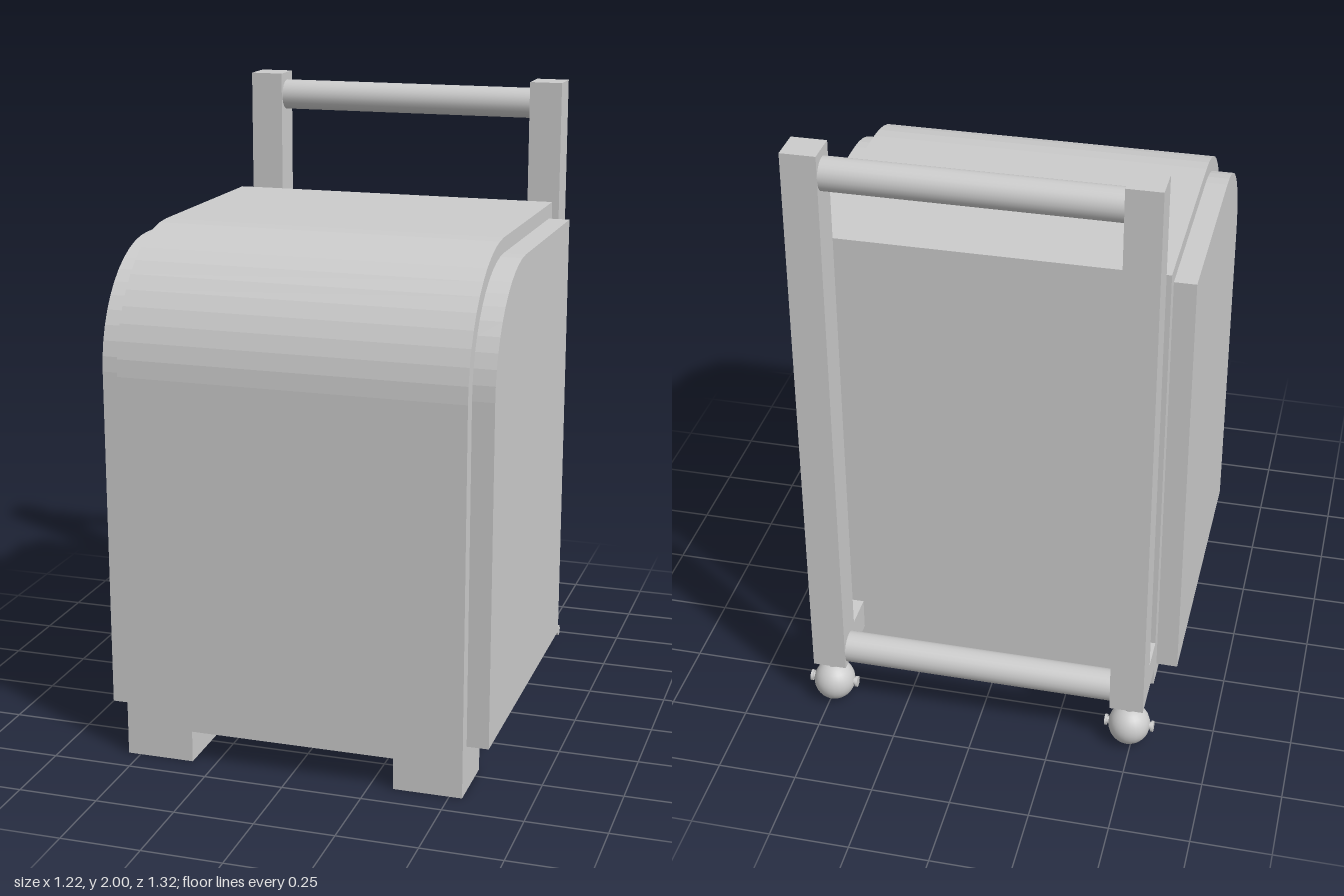
import * as THREE from 'three';

const material = new THREE.MeshStandardMaterial({ color: 0xcccccc });

function add(parent, name, geometry, x = 0, y = 0, z = 0) {
  const mesh = new THREE.Mesh(geometry, material);
  mesh.name = name;
  mesh.position.set(x, y, z);
  parent.add(mesh);
  return mesh;
}

// Extrudes a (z, y) outline along x, centred on x = 0
function extrudeAcross(shape, width) {
  const geometry = new THREE.ExtrudeGeometry(shape, { depth: width, bevelEnabled: false, curveSegments: 6 });
  return geometry.translate(0, 0, -width / 2).rotateY(-Math.PI / 2);
}

// Side outline with a rounded top front corner
function cabinetOutline(back, front, bottom, top, radius) {
  const shape = new THREE.Shape();
  shape.moveTo(back, bottom);
  shape.lineTo(front, bottom);
  shape.lineTo(front, top - radius);
  shape.absarc(front - radius, top - radius, radius, 0, Math.PI / 2, false);
  shape.lineTo(back, top - 0.005);
  shape.closePath();
  return shape;
}

export function createModel() {
  const model = new THREE.Group();
  model.name = 'wheeledCabinet';

  // Cabinet body
  add(model, 'body', extrudeAcross(cabinetOutline(-0.43, 0.66, 0.1, 1.63, 0.41), 1.08));

  // Upright with a short foot reaching forward to the body
  const frame = new THREE.Shape([
    [-0.648, 0.165], [-0.43, 0.165], [-0.43, 0.27], [-0.54, 0.27], [-0.54, 2], [-0.648, 2],
  ].map(([z, y]) => new THREE.Vector2(z, y)));

  const panelOutline = cabinetOutline(-0.385, 0.613, 0.148, 1.583, 0.363);

  for (const [side, s] of [['left', 1], ['right', -1]]) {
    add(model, side + 'SidePanel', extrudeAcross(panelOutline, 0.068), s * 0.574);
    add(model, side + 'FrontFoot', new THREE.BoxGeometry(0.215, 0.1, 0.21), s * 0.4325, 0.05, 0.555);
    add(model, side + 'Upright', extrudeAcross(frame, 0.107), s * 0.4865);

    // Ball caster with stem and axle
    const caster = new THREE.Group();
    caster.name = side + 'Caster';
    caster.position.set(s * 0.49, 0.068, -0.595);
    add(caster, 'ball', new THREE.SphereGeometry(0.067, 24, 16));
    add(caster, 'stem', new THREE.CylinderGeometry(0.02, 0.02, 0.06, 16), 0, 0.075, 0);
    add(caster, 'axle', new THREE.CylinderGeometry(0.012, 0.012, 0.15, 12).rotateZ(Math.PI / 2));
    for (const e of [1, -1]) {
      add(caster, 'axleCap', new THREE.CylinderGeometry(0.018, 0.018, 0.008, 12).rotateZ(Math.PI / 2), e * 0.075);
    }
    model.add(caster);
  }

  // Handle and lower crossbar
  for (const [name, y] of [['handleBar', 1.925], ['lowerBar', 0.217]]) {
    add(model, name, new THREE.CylinderGeometry(0.05, 0.05, 0.88, 24).rotateZ(Math.PI / 2), 0, y, -0.597);
  }

  return model;
}
